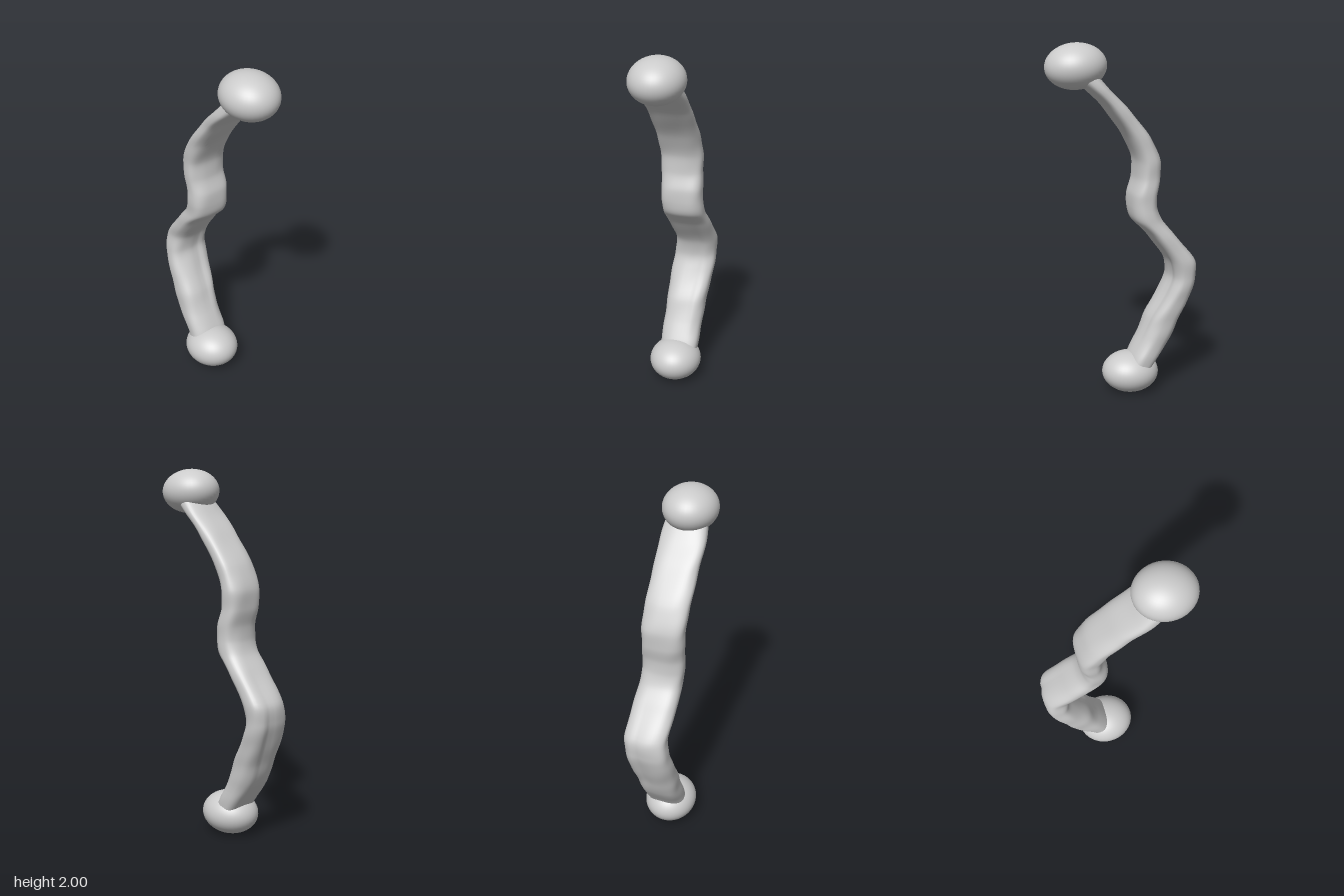
import * as THREE from 'three';

const material = new THREE.MeshStandardMaterial({ color: 0xcccccc, roughness: 0.8 });

// Shaft stations from bottom to top: height, front z, back z, right x, left x
const STATIONS = [
  [0.12, -0.01, -0.14, -0.10, 0.11],
  [0.23, -0.05, -0.21, -0.105, 0.115],
  [0.33, -0.105, -0.28, -0.105, 0.115],
  [0.45, -0.155, -0.33, -0.105, 0.125],
  [0.60, -0.24, -0.39, -0.10, 0.145],
  [0.69, -0.27, -0.41, -0.09, 0.15],
  [0.79, -0.25, -0.405, -0.08, 0.155],
  [0.94, -0.145, -0.285, -0.095, 0.145],
  [1.03, -0.06, -0.215, -0.095, 0.135],
  [1.10, -0.04, -0.185, -0.10, 0.13],
  [1.18, -0.045, -0.185, -0.10, 0.13],
  [1.27, -0.07, -0.20, -0.105, 0.125],
  [1.37, -0.07, -0.20, -0.11, 0.125],
  [1.50, -0.015, -0.143, -0.118, 0.12],
  [1.66, 0.10, -0.015, -0.122, 0.118],
  [1.76, 0.20, 0.08, -0.127, 0.118],
  [1.84, 0.29, 0.15, -0.11, 0.11],
];

// Superellipse rings lofted along the bent shaft
function shaftGeometry(rings = 110, sides = 40) {
  const depth = new THREE.CatmullRomCurve3(STATIONS.map(s => new THREE.Vector3(s[1], s[0], s[2])), false, 'catmullrom', 0.4);
  const width = new THREE.CatmullRomCurve3(STATIONS.map(s => new THREE.Vector3(s[3], s[0], s[4])), false, 'catmullrom', 0.4);
  const soften = v => Math.sign(v) * Math.abs(v) ** 0.75;
  const positions = [], index = [];
  for (let r = 0; r <= rings; r++) {
    const d = depth.getPoint(r / rings), w = width.getPoint(r / rings), y = d.y;
    // shallow lengthwise grooves on the lower half
    const groove = 0.012 * Math.exp(-(((y - 0.6) / 0.28) ** 2));
    for (let s = 0; s < sides; s++) {
      const a = s / sides * Math.PI * 2, c = soften(Math.cos(a)), n = soften(Math.sin(a));
      const ripple = 0.002 * Math.sin(y * 31 + 3 * a) * Math.sin(y * 13 - 2 * a);
      const dent = -groove * Math.exp(-(((c - 0.3) / 0.2) ** 2)) * n;
      positions.push(
        (w.x + w.z) / 2 + c * ((w.z - w.x) / 2 + ripple),
        y,
        (d.x + d.z) / 2 + n * ((d.x - d.z) / 2 + ripple) + dent);
      if (r < rings) {
        const p = r * sides + s, q = r * sides + (s + 1) % sides;
        index.push(p, p + sides, q, q, p + sides, q + sides);
      }
    }
  }
  const geometry = new THREE.BufferGeometry();
  geometry.setAttribute('position', new THREE.Float32BufferAttribute(positions, 3));
  geometry.setIndex(index);
  geometry.computeVertexNormals();
  return geometry;
}

// Slightly flattened knob at an end of the shaft
function knob(name, y, z, radii, tilt) {
  const mesh = new THREE.Mesh(new THREE.SphereGeometry(1, 40, 28), material);
  mesh.name = name;
  mesh.scale.set(...radii);
  mesh.position.set(-0.003, y, z);
  mesh.rotation.x = tilt;
  return mesh;
}

export function createModel() {
  const group = new THREE.Group();
  group.name = 'bentRod';
  const shaft = new THREE.Mesh(shaftGeometry(), material);
  shaft.name = 'shaft';
  group.add(
    shaft,
    knob('topKnob', 1.88, 0.248, [0.148, 0.12, 0.164], 0.06),
    knob('bottomKnob', 0.12, -0.055, [0.146, 0.117, 0.162], -0.06),
  );
  return group;
}
